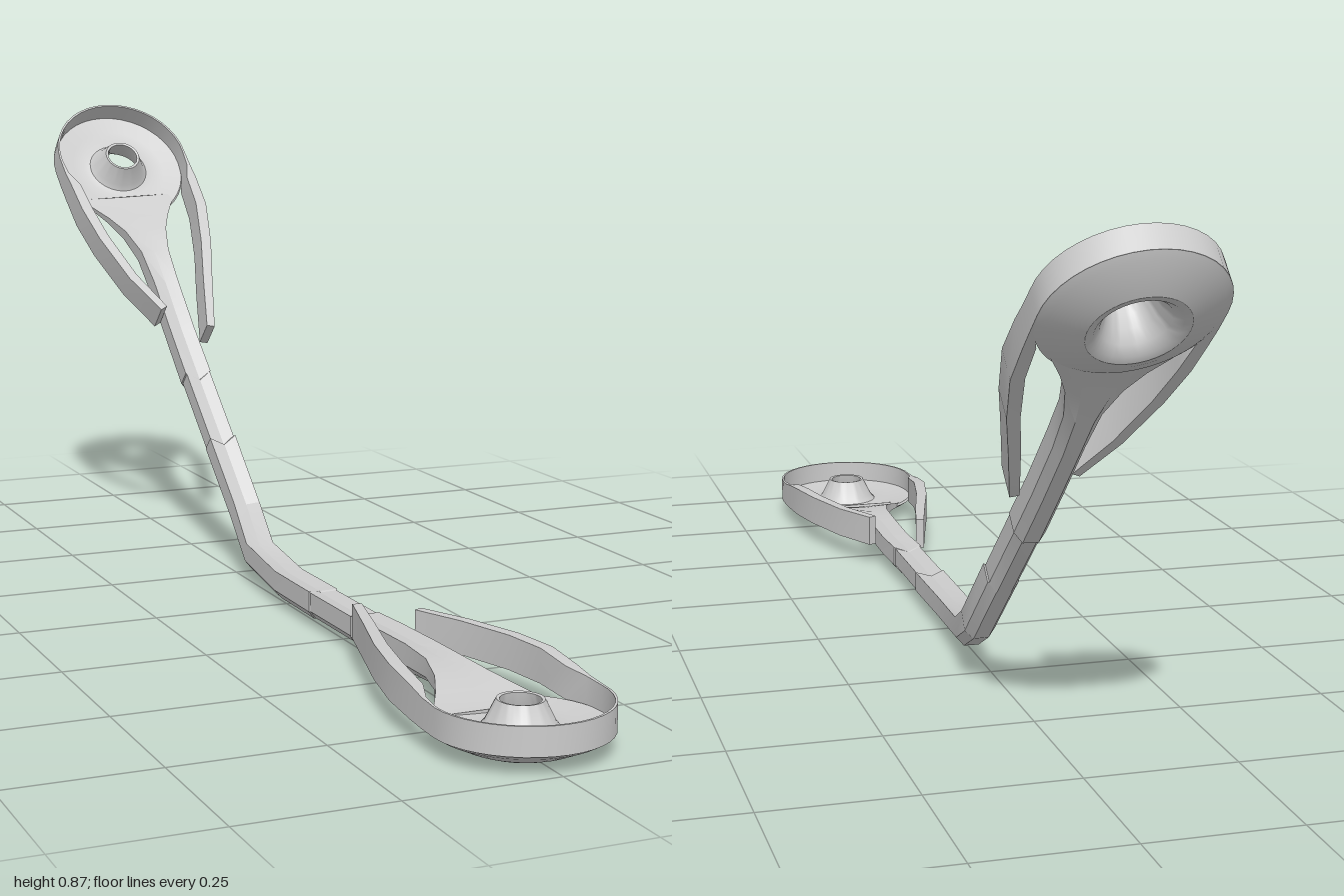
import * as THREE from 'three';
import { toCreasedNormals } from 'three/addons/utils/BufferGeometryUtils.js';

const V = (x, y, z) => new THREE.Vector3(x, y, z);
const material = new THREE.MeshStandardMaterial({ color: 0xcccccc, side: THREE.DoubleSide });

function makeMesh(name, geometry, crease) {
  const mesh = new THREE.Mesh(toCreasedNormals(geometry, crease), material);
  mesh.name = name;
  return mesh;
}

// Skin a series of equal-sized rings and cap both ends
function loft(rings) {
  const n = rings[0].length, last = (rings.length - 1) * n, index = [];
  for (let i = 0; i < rings.length - 1; i++) {
    for (let j = 0; j < n; j++) {
      const a = i * n + j, b = i * n + (j + 1) % n;
      index.push(a, b, a + n, b, b + n, a + n);
    }
  }
  for (let j = 1; j < n - 1; j++) index.push(0, j + 1, j, last, last + j, last + j + 1);
  const geometry = new THREE.BufferGeometry().setFromPoints(rings.flat());
  geometry.setIndex(index);
  return geometry;
}

function tangentAt(points, i) {
  const next = points[Math.min(i + 1, points.length - 1)];
  return next.clone().sub(points[Math.max(i - 1, 0)]).normalize();
}

// Shallow pan with a hollow cone in the middle
function createPan() {
  const profile = [
    [0.031, 0.071], [0.034, 0.055], [0.041, 0.035], [0.052, 0.015], [0.064, 0.003], [0.076, 0],
    [0.092, 0.006], [0.128, 0.023], [0.14, 0.031], [0.137, 0.035], [0.1, 0.03], [0.075, 0.027],
    [0.061, 0.029], [0.053, 0.038], [0.036, 0.072], [0.031, 0.071],
  ].map(([r, y]) => new THREE.Vector2(r, y));
  return makeMesh('pan', new THREE.LatheGeometry(profile, 40), 0.6);
}

// Upright rim round the pan, running on into one long and one short arm
function createRim() {
  // x, z, bottom, top, thickness
  const longArm = [
    [-0.053, -0.475, 0.042, 0.1, 0.016], [-0.085, -0.36, 0.04, 0.098, 0.019],
    [-0.114, -0.26, 0.04, 0.096, 0.021], [-0.135, -0.16, 0.038, 0.094, 0.022],
    [-0.139, -0.08, 0.033, 0.085, 0.02], [-0.14, -0.04, 0.031, 0.078, 0.007],
  ];
  const shortArm = [
    [0.14, -0.04, 0.031, 0.078, 0.007], [0.139, -0.08, 0.033, 0.085, 0.02],
    [0.137, -0.15, 0.038, 0.094, 0.022], [0.122, -0.23, 0.04, 0.096, 0.021],
    [0.088, -0.335, 0.04, 0.096, 0.019], [0.045, -0.42, 0.04, 0.097, 0.016],
  ];
  const arc = [];
  for (let i = 0; i <= 20; i++) {
    const a = Math.PI * i / 20;
    arc.push([-0.14 * Math.cos(a), 0.14 * Math.sin(a), 0.03, 0.075, 0.004]);
  }
  const stations = [...longArm, ...arc, ...shortArm];
  const path = stations.map(([x, z]) => V(x, 0, z));
  const rings = stations.map(([, , low, high, thick], i) => {
    const outward = tangentAt(path, i).cross(V(0, 1, 0));
    const inner = path[i].clone().addScaledVector(outward, -thick);
    return [[inner, high], [path[i], high], [path[i], low], [inner, low]]
      .map(([p, y]) => V(p.x, y, p.z));
  });
  return makeMesh('rimAndArms', loft(rings), 0.4);
}

function createHead(name) {
  const head = new THREE.Group();
  head.name = name;
  head.add(createPan(), createRim());
  return head;
}

// Bent shaft, flaring into a flat neck at each head
function createShaft(lower, upper) {
  // distance from pan centre, half width, centre height, thickness
  const neck = [
    [0.08, 0.105, 0.029, 0.008], [0.11, 0.086, 0.031, 0.012], [0.145, 0.066, 0.037, 0.02],
    [0.19, 0.045, 0.042, 0.032], [0.25, 0.03, 0.045, 0.043], [0.33, 0.026, 0.043, 0.05],
    [0.45, 0.026, 0.04, 0.05],
  ];
  const neckAt = (head) => neck.map(([d, w, y, h]) =>
    ({ p: V(0, y, -d).applyMatrix4(head.matrix), w, h, chevron: 0 }));
  const plain = (x, y, z) => [{ p: V(x, y, z), w: 0.026, h: 0.051, chevron: 0 }];
  // V-shaped step between two lengths of shaft
  const seam = (x, y, z, chevron, before, after) => [before, after].map((s, i) =>
    ({ p: V(x, y, z - i * 0.003), w: 0.026 * s, h: 0.05 * s, chevron }));

  const stations = [
    ...neckAt(lower),
    ...seam(0.003, 0.038, 0.33, 0.015, 1.03, 0.95),
    ...seam(0.003, 0.037, 0.16, 0.015, 0.95, 1.03),
    ...plain(0.003, 0.037, 0),
    ...plain(0.014, 0.05, -0.17),
    ...plain(0.036, 0.105, -0.3),
    ...seam(0.028, 0.219, -0.41, -0.015, 1.03, 0.95),
    ...seam(0.019, 0.332, -0.52, -0.015, 0.95, 1.03),
    ...neckAt(upper).reverse(),
  ];
  const section = [[-1, 0.5], [0, 0.4], [1, 0.5], [1, -0.2], [0.5, -0.5], [-0.5, -0.5], [-1, -0.2]];
  const path = stations.map((s) => s.p);
  const rings = stations.map(({ p, w, h, chevron }, i) => {
    const along = tangentAt(path, i);
    const up = V(0, -along.z, along.y).normalize();
    const side = along.clone().cross(up);
    return section.map(([u, v]) => p.clone()
      .addScaledVector(side, u * w)
      .addScaledVector(up, v * h)
      .addScaledVector(along, chevron * (1 - Math.abs(u))));
  });
  return makeMesh('shaft', loft(rings), 0.35);
}

export function createModel() {
  const model = new THREE.Group();
  model.name = 'doubleEndedPaddle';

  const lower = createHead('lowerHead');
  lower.position.set(0.008, 0, 0.86);

  const upper = createHead('upperHead');
  upper.position.set(-0.01, 0.712, -0.93);
  upper.rotation.set(0.82, Math.PI + 0.05, 0);

  lower.updateMatrix();
  upper.updateMatrix();
  model.add(lower, upper, createShaft(lower, upper));
  return model;
}
